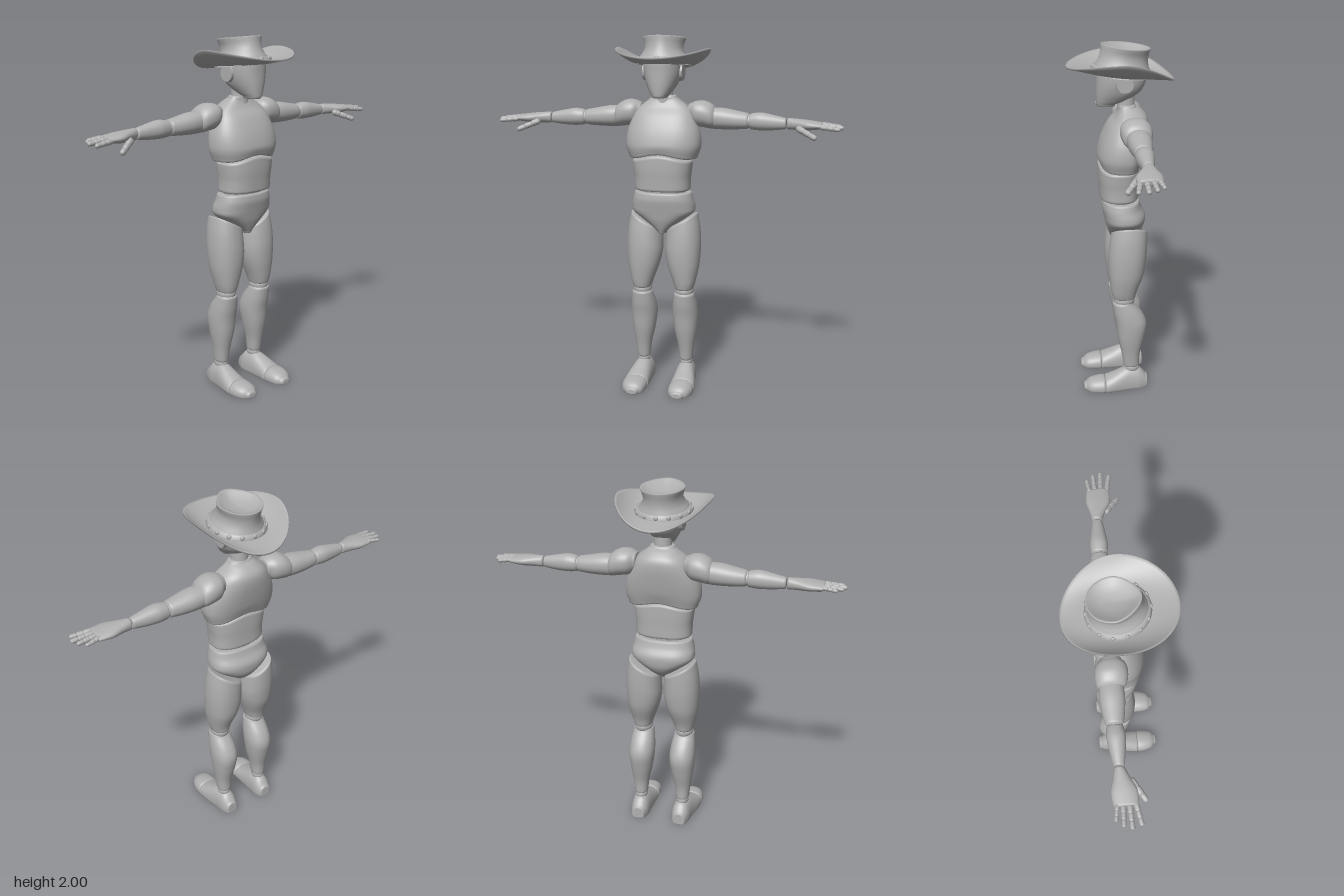
import * as THREE from 'three';
import { mergeGeometries } from 'three/addons/utils/BufferGeometryUtils.js';

const grey = new THREE.MeshStandardMaterial({ color: 0xb0b0b0 });
grey.name = 'mannequin grey';

// Closed skin over a stack of rings; at(i, angle) gives each vertex
function skin(rings, sides, at) {
  const pos = [], index = [];
  for (let i = 0; i < rings; i++) {
    for (let j = 0; j < sides; j++) pos.push(...at(i, (j / sides) * Math.PI * 2));
  }
  for (let i = 0; i < rings - 1; i++) {
    for (let j = 0; j < sides; j++) {
      const k = (j + 1) % sides;
      const a = i * sides + j, b = i * sides + k, c = a + sides, d = b + sides;
      index.push(a, c, b, b, c, d);
    }
  }
  const g = new THREE.BufferGeometry();
  g.setAttribute('position', new THREE.Float32BufferAttribute(pos, 3));
  g.setIndex(index);
  g.computeVertexNormals();
  return g;
}

function catmull(a, b, c, d, t) {
  const m = (c - a) / 2, n = (d - b) / 2;
  return (2 * b - 2 * c + m + n) * t ** 3 + (3 * c - 3 * b - 2 * m - n) * t * t + m * t + b;
}

// Order of (position, u, v) on each axis
const AXES = {
  y: (w, u, v) => [u, w, v],
  x: (w, u, v) => [w, v, u],
  z: (w, u, v) => [v, u, w],
};

// Smooth loft with rounded ends. Section: [position, centreU, centreV, radiusU, radiusV+, radiusV-]
function loft(axis, sections, { p = 2.2, bevel = 0.012, bend = (q) => q, sides = 40, steps = 6 } = {}) {
  const last = sections.length - 1;
  const rings = [];
  for (let i = 0; i <= last * steps; i++) {
    const k = Math.min(Math.floor(i / steps), last - 1), t = i / steps - k;
    const s = (n) => sections[THREE.MathUtils.clamp(n, 0, last)];
    rings.push(s(k).map((_, c) => catmull(s(k - 1)[c], s(k)[c], s(k + 1)[c], s(k + 2)[c], t)));
  }
  // rounded end caps
  const cap = (r, dir) => {
    const out = [1, 2, 3].map((n) => {
      const a = (n * Math.PI) / 6;
      const shrink = bevel * (1 - Math.cos(a));
      return [r[0] + dir * bevel * Math.sin(a), r[1], r[2], ...r.slice(3).map((x) => Math.max(x - shrink, 0.001))];
    });
    const e = out[2];
    out.push([e[0], e[1], e[2], ...e.slice(3).map((x) => x * 0.85)], [e[0], e[1], e[2], 0, 0, 0]);
    return out;
  };
  const all = [...cap(rings[0], -1).reverse(), ...rings, ...cap(rings[rings.length - 1], 1)];
  const pw = (x) => Math.sign(x) * Math.abs(x) ** (2 / p);
  return skin(all.length, sides, (i, a) => {
    const [w, cu, cv, ru, vp, vm] = all[i];
    const c = pw(Math.cos(a)), s = pw(Math.sin(a));
    return bend(AXES[axis](w, cu + c * ru, cv + s * (s > 0 ? vp : vm)));
  });
}

function ball(x, y, z, rx, ry = rx, rz = rx) {
  return new THREE.SphereGeometry(1, 28, 18).scale(rx, ry, rz).translate(x, y, z);
}

// Row of capsules from a to b
function finger(a, b, r, count) {
  const A = new THREE.Vector3(...a), B = new THREE.Vector3(...b);
  const turn = new THREE.Quaternion().setFromUnitVectors(new THREE.Vector3(0, 1, 0), B.clone().sub(A).normalize());
  const len = A.distanceTo(B) / count;
  return mergeGeometries(Array.from({ length: count }, (_, i) => {
    const c = A.clone().lerp(B, (i + 0.5) / count);
    return new THREE.CapsuleGeometry(r * (1 - 0.08 * i), Math.max(len - r * 1.1, 0.004), 5, 12)
      .applyQuaternion(turn).translate(c.x, c.y, c.z);
  }));
}

function mirrored(g) {
  const m = g.clone().scale(-1, 1, 1), ix = m.index;
  for (let i = 0; i < ix.count; i += 3) {
    const t = ix.getX(i);
    ix.setX(i, ix.getX(i + 1));
    ix.setX(i + 1, t);
  }
  m.computeVertexNormals();
  return m;
}

export function createModel() {
  const model = new THREE.Group();
  model.name = 'mannequin';
  const add = (name, g) => {
    const m = new THREE.Mesh(g, grey);
    m.name = name;
    model.add(m);
  };
  const pair = (name, g) => {
    add(name + 'Left', g);
    add(name + 'Right', mirrored(g));
  };

  // Head and neck
  add('head', loft('y', [
    [1.677, 0, 0.06, 0.045, 0.066, 0.035], [1.70, 0, 0.04, 0.062, 0.088, 0.08], [1.745, 0, 0.01, 0.086, 0.12, 0.12],
    [1.80, 0, 0, 0.1, 0.13, 0.137], [1.87, 0, 0, 0.1, 0.13, 0.14], [1.91, 0, 0, 0.085, 0.11, 0.12]], { p: 2.3 }));
  add('neck', new THREE.CylinderGeometry(0.045, 0.05, 0.14, 28).translate(0, 1.69, -0.032));
  pair('ear', new THREE.CylinderGeometry(0.046, 0.049, 0.022, 28).rotateZ(-Math.PI / 2).translate(0.1, 1.8, -0.015));

  // Torso, with an arched seam under the ribs
  const arch = (from, to) => ([x, y, z]) => [x, y + 0.028 * Math.cos(Math.min(Math.abs(x) / 0.17, 1) * Math.PI / 2) ** 2
    * THREE.MathUtils.clamp((y - from) / (to - from), 0, 1), z];
  add('chest', loft('y', [
    [1.342, 0, -0.02, 0.193, 0.137, 0.085], [1.40, 0, -0.02, 0.21, 0.145, 0.1], [1.48, 0, -0.02, 0.202, 0.127, 0.118],
    [1.56, 0, -0.02, 0.17, 0.09, 0.13], [1.61, 0, -0.025, 0.135, 0.055, 0.12], [1.645, 0, -0.03, 0.09, 0.042, 0.085],
    [1.662, 0, -0.03, 0.07, 0.04, 0.055]], { p: 2.4, bend: arch(1.42, 1.34) }));
  add('abdomen', loft('y', [
    [1.165, 0, 0, 0.156, 0.115, 0.098], [1.22, 0, 0, 0.157, 0.118, 0.098], [1.27, 0, 0, 0.163, 0.122, 0.1],
    [1.313, 0, 0, 0.168, 0.122, 0.1]], { p: 2.5, bend: arch(1.24, 1.31) }));
  add('waistJoint', ball(0, 1.15, 0, 0.13, 0.06, 0.085));
  add('pelvis', loft('y', [
    [0.916, 0, -0.01, 0.03, 0.065, 0.05], [0.945, 0, -0.015, 0.065, 0.082, 0.085], [0.985, 0, -0.02, 0.122, 0.1, 0.108],
    [1.025, 0, -0.02, 0.172, 0.108, 0.117], [1.06, 0, -0.02, 0.178, 0.115, 0.115], [1.10, 0, -0.01, 0.17, 0.112, 0.105],
    [1.132, 0, -0.01, 0.162, 0.11, 0.095]], { p: 2.4, bevel: 0.01 }));

  // Legs: the thigh top slopes down toward the crotch
  pair('thigh', loft('y', [
    [0.59, 0.123, -0.01, 0.054, 0.066, 0.066], [0.63, 0.122, -0.01, 0.066, 0.074, 0.076], [0.72, 0.115, -0.02, 0.09, 0.095, 0.1],
    [0.81, 0.111, -0.03, 0.1, 0.108, 0.105], [0.89, 0.108, -0.035, 0.097, 0.107, 0.105],
    [0.96, 0.103, -0.038, 0.088, 0.1, 0.103]], {
    bend: ([x, y, z]) => [x, y + 0.55 * (x - 0.1) * THREE.MathUtils.clamp((y - 0.72) / 0.24, 0, 1), z] }));
  pair('knee', ball(0.123, 0.567, -0.01, 0.052, 0.045, 0.06));
  pair('shin', loft('y', [
    [0.148, 0.127, -0.052, 0.038, 0.045, 0.046], [0.22, 0.127, -0.05, 0.046, 0.054, 0.052],
    [0.32, 0.124, -0.05, 0.064, 0.074, 0.076], [0.41, 0.122, -0.05, 0.073, 0.085, 0.09],
    [0.48, 0.122, -0.03, 0.069, 0.078, 0.085], [0.545, 0.123, -0.005, 0.058, 0.06, 0.058]]));
  pair('ankle', ball(0.127, 0.125, -0.055, 0.036, 0.035, 0.042));

  // Feet with flat soles
  const sole = ([x, y, z]) => [x, Math.max(y, 0.002), z];
  pair('foot', loft('z', [
    [-0.137, 0.025, 0.125, 0.05, 0.04, 0.04], [-0.10, 0.03, 0.125, 0.085, 0.052, 0.052], [-0.05, 0.03, 0.127, 0.097, 0.056, 0.056],
    [-0.01, 0.028, 0.13, 0.093, 0.06, 0.06], [0.05, 0.025, 0.134, 0.069, 0.068, 0.066],
    [0.093, 0.02, 0.136, 0.056, 0.071, 0.07]], { bend: sole, bevel: 0.01 }));
  pair('toes', loft('z', [
    [0.113, 0.02, 0.136, 0.054, 0.071, 0.07], [0.15, 0.02, 0.136, 0.05, 0.068, 0.068], [0.19, 0.018, 0.134, 0.041, 0.056, 0.058],
    [0.214, 0.016, 0.132, 0.024, 0.034, 0.036]], { bend: sole }));

  // Arms stretched to the sides
  pair('shoulder', loft('x', [
    [0.145, -0.06, 1.585, 0.055, 0.045, 0.06], [0.175, -0.06, 1.58, 0.078, 0.062, 0.075],
    [0.22, -0.062, 1.573, 0.084, 0.07, 0.075], [0.262, -0.064, 1.56, 0.076, 0.064, 0.068],
    [0.282, -0.066, 1.552, 0.06, 0.048, 0.05]]));
  pair('upperArm', loft('x', [
    [0.27, -0.067, 1.552, 0.062, 0.055, 0.062], [0.33, -0.067, 1.547, 0.064, 0.058, 0.058],
    [0.40, -0.067, 1.541, 0.057, 0.051, 0.05], [0.453, -0.067, 1.538, 0.047, 0.044, 0.043]]));
  pair('elbow', ball(0.467, -0, 0, 0.03, 0.038, 0.04).translate(0, 1.537, -0.066));
  pair('forearm', loft('x', [
    [0.48, -0.066, 1.537, 0.043, 0.043, 0.044], [0.53, -0.065, 1.537, 0.048, 0.049, 0.048],
    [0.60, -0.064, 1.533, 0.039, 0.041, 0.041], [0.66, -0.063, 1.53, 0.029, 0.031, 0.031]], { bevel: 0.009 }));
  pair('palm', loft('x', [
    [0.682, -0.062, 1.53, 0.028, 0.031, 0.031], [0.73, -0.056, 1.53, 0.043, 0.028, 0.031],
    [0.79, -0.049, 1.528, 0.064, 0.025, 0.028], [0.855, -0.046, 1.526, 0.061, 0.018, 0.018]], { bevel: 0.009 }));
  pair('indexFinger', finger([0.855, 1.523, 0.002], [0.957, 1.513, 0.022], 0.0145, 3));
  pair('middleFinger', finger([0.86, 1.527, -0.029], [0.972, 1.518, -0.024], 0.0145, 3));
  pair('ringFinger', finger([0.86, 1.529, -0.06], [0.958, 1.521, -0.064], 0.0135, 3));
  pair('littleFinger', finger([0.855, 1.53, -0.088], [0.93, 1.522, -0.1], 0.0125, 3));
  pair('thumb', finger([0.735, 1.512, -0.012], [0.835, 1.468, 0.058], 0.018, 3));

  // Hat brim: rolled up at the sides, drooping behind
  const N = 12;
  add('hatBrim', skin(2 * N + 2, 72, (i, a) => {
    const under = i <= N, t = (under ? i : 2 * N + 1 - i) / N;
    const c = Math.cos(a), s = Math.sin(a);
    const z = THREE.MathUtils.lerp(0.125, 0.286, t) * s - 0.002;
    const edge = 1.925 - (s > 0 ? 0.045 : 0.12) * Math.abs(s) ** 1.8;
    const y = THREE.MathUtils.lerp(1.84 + 0.1 * z, edge, t ** 2);
    return [THREE.MathUtils.lerp(0.11, 0.256, t) * c, y + (under ? -0.005 : 0.005), z];
  }));

  // Crown: waisted, with a hollow top pinched toward the front. Row: [y, radiusX, radiusZ, centreZ, pinch]
  const crown = [[1.835, 0.15, 0.158, -0.008, 0], [1.865, 0.14, 0.15, -0.01, 0], [1.89, 0.12, 0.137, -0.014, 0.05],
    [1.925, 0.102, 0.128, -0.02, 0.1], [1.96, 0.11, 0.129, -0.026, 0.2], [1.98, 0.118, 0.132, -0.03, 0.25],
    [1.987, 0.117, 0.131, -0.03, 0.28], [1.984, 0.107, 0.121, -0.03, 0.32], [1.968, 0.085, 0.1, -0.03, 0.4],
    [1.955, 0.045, 0.06, -0.03, 0.4], [1.952, 0, 0, -0.03, 0]];
  add('hatCrown', skin(crown.length, 56, (i, a) => {
    const [y, rx, rz, cz, pinch] = crown[i];
    const s = Math.sin(a), z = cz + rz * s;
    return [rx * Math.cos(a) * (1 - pinch * Math.max(s, 0) ** 1.5), y + 0.11 * z, z];
  }));

  // Band with round studs
  const band = [[1.848, 0.148, 0.157], [1.85, 0.154, 0.162], [1.872, 0.145, 0.154], [1.875, 0.13, 0.142]];
  add('hatBand', skin(band.length, 56, (i, a) => {
    const [y, rx, rz] = band[i], z = rz * Math.sin(a) - 0.01;
    return [rx * Math.cos(a), y + 0.11 * z, z];
  }));
  add('hatStuds', mergeGeometries(Array.from({ length: 14 }, (_, i) => {
    const a = ((i + 0.5) / 14) * Math.PI * 2, z = 0.156 * Math.sin(a) - 0.01;
    return new THREE.SphereGeometry(0.013, 12, 8).scale(1, 1, 0.6).rotateY(Math.PI / 2 - a)
      .translate(0.148 * Math.cos(a), 1.863 + 0.11 * z, z);
  })));

  return model;
}
